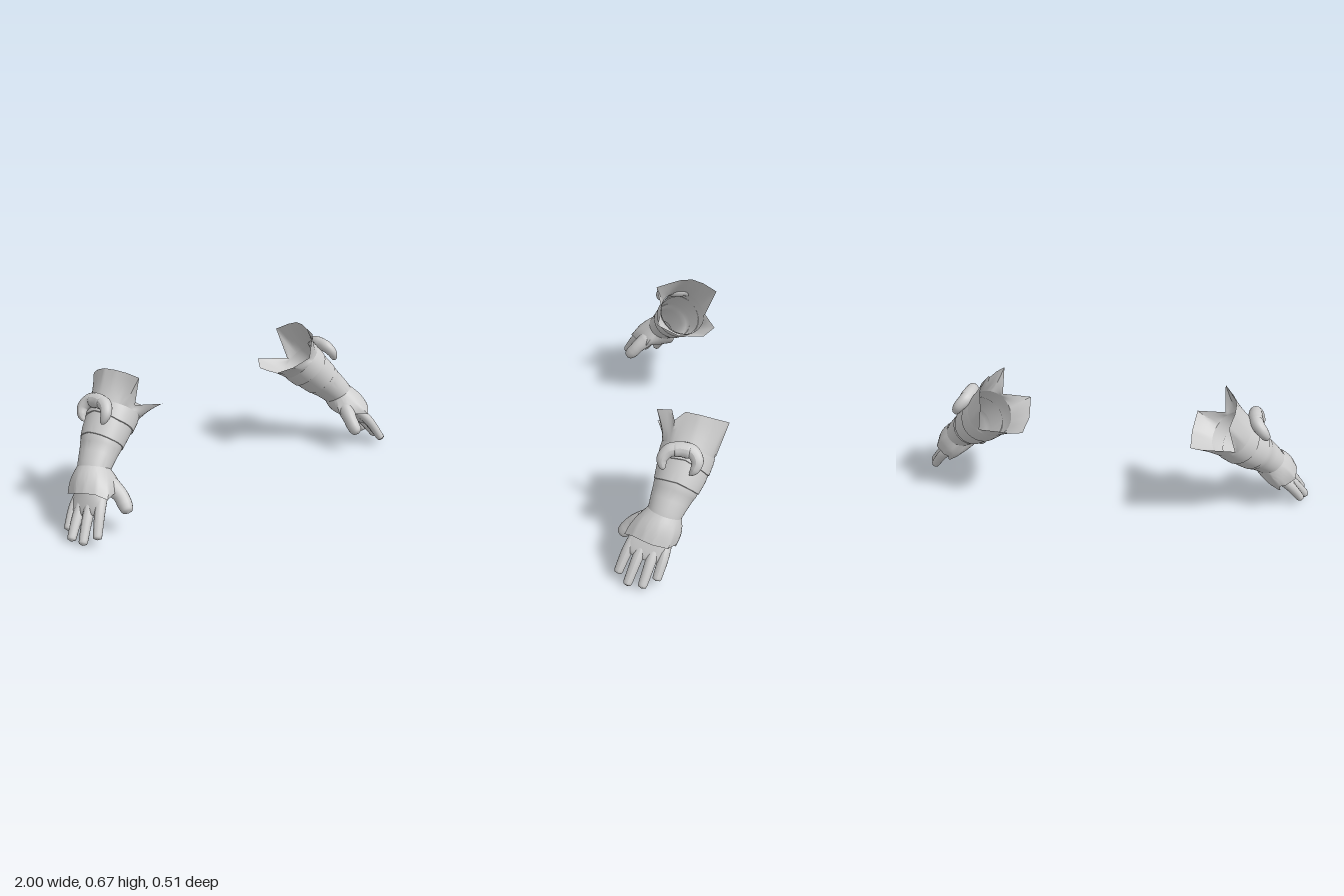
import * as THREE from 'three';
import { toCreasedNormals } from 'three/addons/utils/BufferGeometryUtils.js';

const material = new THREE.MeshStandardMaterial({ color: 0xcccccc, side: THREE.DoubleSide });

// Arm frame: x to the thumb side, y towards the fingertips, z out of the back of the hand
const along = new THREE.Vector3(0.606, -0.712, 0.356).normalize();
const back = new THREE.Vector3(-0.251, 0.253, 0.934).cross(along).normalize();
const across = along.clone().cross(back);
const armFrame = new THREE.Matrix4().makeBasis(across, along, back).setPosition(0.575, 0.49, -0.085);

// Surface wrapped round the arm: point(row, angle in degrees) gives [x, y, z]
function wrap(rows, sides, point) {
  const pos = [], index = [];
  for (let i = 0; i < rows; i++)
    for (let j = 0; j < sides; j++) pos.push(...point(i, (j * 360) / sides));
  for (let i = 0; i < rows - 1; i++)
    for (let j = 0; j < sides; j++) {
      const a = i * sides + j, b = i * sides + ((j + 1) % sides);
      index.push(a, a + sides, b, b, a + sides, b + sides);
    }
  const g = new THREE.BufferGeometry();
  g.setAttribute('position', new THREE.Float32BufferAttribute(pos, 3));
  g.setIndex(index);
  g.computeVertexNormals();
  return g;
}

// Oval cross-sections [y, half width, half depth, centre x, centre z, chevron height]
function loft(sections, sides = 48) {
  return wrap(sections.length, sides, (i, deg) => {
    const [y, w, d, cx = 0, cz = 0, chevron = 0] = sections[i];
    const t = THREE.MathUtils.degToRad(deg);
    const peak = Math.max(0, 1 - Math.abs(deg - 90) / 65);
    return [cx + w * Math.cos(t), y - chevron * peak, cz + d * Math.sin(t)];
  });
}

// Point on an outline of [degrees, x, y, z] corners
function onRim(rim, deg) {
  const k = rim.findIndex((r, i) => i + 1 < rim.length && deg >= r[0] && deg < rim[i + 1][0]);
  const a = rim[k], b = rim[k + 1], t = (deg - a[0]) / (b[0] - a[0]);
  return [1, 2, 3].map((c) => a[c] + (b[c] - a[c]) * t);
}

// Sheet spreading from an oval, tilted base to an irregular rim
function flare([y, w, d, cz, tilt], rim, rows, bulge) {
  return wrap(rows, 72, (i, deg) => {
    const t = i / (rows - 1), a = THREE.MathUtils.degToRad(deg);
    const end = onRim(rim, deg);
    const start = [w * Math.cos(a), y + tilt * Math.sin(a), cz + d * Math.sin(a)];
    const s = 1 + bulge * Math.sin(Math.PI * t);
    return [0, 1, 2].map((c) => (start[c] + (end[c] - start[c]) * t) * (c === 1 ? 1 : s));
  });
}

// Tube with a varying radius; points are [x, y, z, radius], ends are rounded off
function taper(points, segments = 28, sides = 16, blunt = 14) {
  const curve = new THREE.CatmullRomCurve3(points.map((p) => new THREE.Vector3(p[0], p[1], p[2])));
  const g = new THREE.TubeGeometry(curve, segments, 1, sides);
  const pos = g.attributes.position, normal = g.attributes.normal;
  for (let i = 0; i <= segments; i++) {
    const u = i / segments, s = curve.getUtoTmapping(u) * (points.length - 1);
    const k = Math.min(Math.floor(s), points.length - 2);
    const round = Math.sqrt(Math.max(0, 1 - Math.pow(Math.abs(2 * u - 1), blunt)));
    const r = THREE.MathUtils.lerp(points[k][3], points[k + 1][3], s - k) * round;
    const c = curve.getPointAt(u);
    for (let j = 0; j <= sides; j++) {
      const v = i * (sides + 1) + j;
      pos.setXYZ(v, c.x + normal.getX(v) * r, c.y + normal.getY(v) * r, c.z + normal.getZ(v) * r);
    }
  }
  g.computeVertexNormals();
  return g;
}

// Elbow flare: a back flap and a palm-side flap, split by a V on each side
const flapRim = (notched) => [
  [0, 0.126, 0.01, 0.005], [25, 0.188, -0.083, 0.088],
  [40, 0.124, -0.101, 0.11],
  ...(notched ? [[50, 0.098, -0.062, 0.116]] : []),
  [60, 0.065, -0.111, 0.13], [90, 0.0, -0.12, 0.138], [120, -0.06, -0.127, 0.12],
  [150, -0.13, -0.138, 0.077], [180, -0.126, 0.015, 0.0],
  [225, -0.115, -0.122, -0.12], [245, -0.061, -0.1, -0.165], [270, 0.0, -0.077, -0.163],
  [290, 0.067, -0.06, -0.16], [325, 0.178, -0.051, -0.11], [360, 0.126, 0.01, 0.005],
];

// Wrist cuff edge, with a point at the thumb side and another at the outer side
const cuffRim = [
  [0, 0.134, 0.476, 0.005], [30, 0.096, 0.47, 0.05], [60, 0.048, 0.474, 0.075], [90, 0.0, 0.476, 0.08],
  [135, -0.068, 0.468, 0.06], [175, -0.096, 0.44, 0.01], [190, -0.1, 0.42, -0.012],
  [200, -0.096, 0.45, -0.028], [210, -0.09, 0.45, -0.036], [220, -0.078, 0.405, -0.048],
  [270, 0.0, 0.38, -0.072], [315, 0.085, 0.37, -0.088], [340, 0.115, 0.41, -0.052],
  [360, 0.134, 0.476, 0.005],
];

// Fingers run from inside the palm over the knuckle to the tip
const fingers = {
  littleFinger: [[-0.045, 0.42, -0.002], [-0.062, 0.51, 0.004], [-0.068, 0.62, -0.008]],
  ringFinger: [[-0.01, 0.43, 0], [-0.016, 0.55, 0.009], [-0.019, 0.672, 0.0]],
  middleFinger: [[0.036, 0.43, 0], [0.044, 0.55, 0.006], [0.047, 0.685, -0.013]],
  indexFinger: [[0.074, 0.42, -0.004], [0.096, 0.525, -0.006], [0.104, 0.65, -0.033]],
};

function createArm(side) {
  const arm = new THREE.Group();
  arm.name = side > 0 ? 'leftGauntlet' : 'rightGauntlet';
  const add = (name, geometry, crease = 0) => {
    let g = geometry.applyMatrix4(armFrame);
    if (side < 0) {
      g.scale(-1, 1, 1);
      g.setIndex(Array.from(g.index.array).reverse());
    }
    if (crease) g = toCreasedNormals(g, crease);
    const mesh = new THREE.Mesh(g, material);
    mesh.name = name;
    arm.add(mesh);
  };

  add('elbowFlare', flare([0.035, 0.124, 0.117, 0, 0], flapRim(side > 0), 6, -0.03), 0.6);

  // Overlapping plates, then the sleeve narrowing to the wrist
  add('upperBand', loft([
    [0.03, 0.124, 0.116, -0.002], [0.06, 0.125, 0.117, -0.003], [0.108, 0.122, 0.113, -0.005, 0.003, 0.024],
    [0.11, 0.118, 0.109, -0.005, 0.003, 0.024],
  ]), 0.6);
  add('middleBand', loft([
    [0.1, 0.117, 0.108, -0.005, 0.003, 0.024], [0.14, 0.115, 0.104, -0.007, 0.006],
    [0.2, 0.105, 0.097, -0.007, 0.01, 0.012], [0.202, 0.102, 0.094, -0.007, 0.01, 0.012],
  ]), 0.6);
  add('sleeve', loft([
    [0.192, 0.102, 0.094, -0.007, 0.01, 0.012],
    [0.222, 0.099, 0.09, -0.006, 0.012], [0.228, 0.096, 0.087, -0.005, 0.012],
    [0.27, 0.088, 0.081, -0.002, 0.016], [0.32, 0.079, 0.074, 0, 0.018], [0.37, 0.073, 0.067, 0, 0.015],
    [0.4, 0.072, 0.058, 0, 0.01],
  ]), 0.6);
  add('wristCuff', flare([0.325, 0.078, 0.074, 0.015, 0.02], cuffRim, 7, 0.1), 0.7);

  // Hand
  add('palm', loft([
    [0.36, 0.068, 0.058, 0, 0.01], [0.41, 0.076, 0.053, 0.004, 0.004], [0.45, 0.089, 0.046, 0.01, 0.002],
    [0.485, 0.098, 0.038, 0.015, 0.001], [0.51, 0.098, 0.031, 0.016, 0.001], [0.53, 0.088, 0.024, 0.016, 0.002],
    [0.546, 0.07, 0.015, 0.018, 0.003], [0.552, 0.03, 0.006, 0.018, 0.004], [0.553, 0, 0, 0.018, 0.004],
  ]));
  for (const [name, path] of Object.entries(fingers)) {
    const radii = [0.029, 0.0245, 0.02];
    add(name, taper(path.map((p, i) => [...p, radii[i]]), 36, 16, 24));
  }
  add('thumb', taper([
    [0.04, 0.36, -0.015, 0.036], [0.08, 0.39, -0.048, 0.042], [0.117, 0.42, -0.08, 0.035],
    [0.138, 0.455, -0.103, 0.034], [0.157, 0.49, -0.118, 0.026],
  ]));

  // Curved horn lying across the back of the upper band, with a collar at its middle
  add('horn', taper([
    [0.07, 0.158, 0.114, 0.015], [0.09, 0.112, 0.126, 0.025], [0.072, 0.068, 0.132, 0.031],
    [0.024, 0.046, 0.134, 0.032], [-0.024, 0.041, 0.136, 0.032], [-0.058, 0.073, 0.138, 0.027],
    [-0.058, 0.112, 0.13, 0.021], [-0.044, 0.14, 0.118, 0.01],
  ], 48));
  add('hornCollar', taper([
    [0.058, 0.06, 0.133, 0.033], [0.024, 0.046, 0.134, 0.034], [-0.018, 0.041, 0.136, 0.035],
  ], 20));
  return arm;
}

export function createModel() {
  const model = new THREE.Group();
  model.name = 'gauntlets';
  model.add(createArm(1), createArm(-1));
  return model;
}
